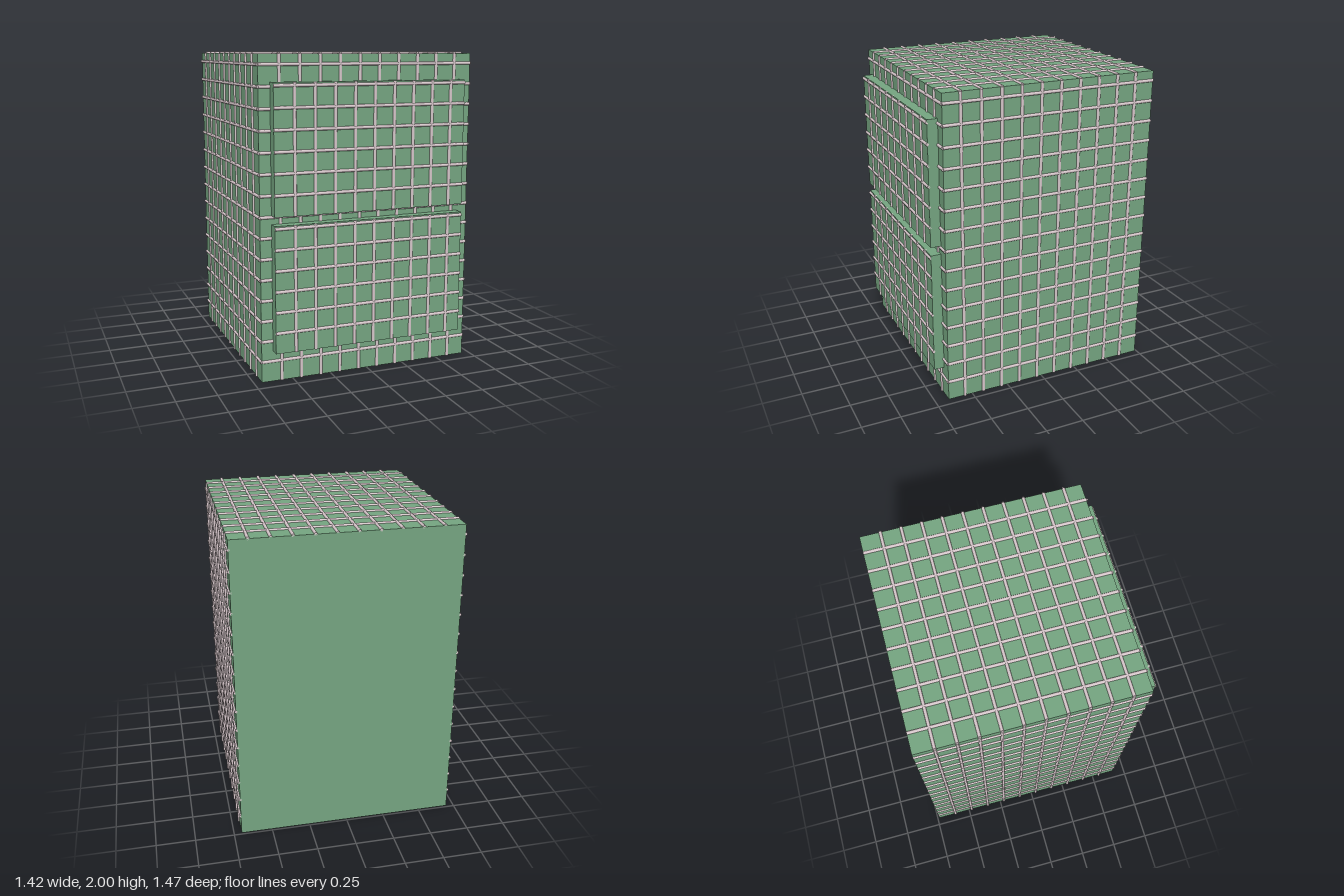
import * as THREE from 'three';

const STEP = 0.1286, R = 0.01;
const tileMat = new THREE.MeshStandardMaterial({ color: 0x74a480 });
const groutMat = new THREE.MeshStandardMaterial({ color: 0xd8c8cc });
const UP = new THREE.Vector3(0, 1, 0);

function box(name, x0, x1, y0, y1, z0, z1) {
  const mesh = new THREE.Mesh(new THREE.BoxGeometry(x1 - x0, y1 - y0, z1 - z0), tileMat);
  mesh.name = name;
  mesh.position.set((x0 + x1) / 2, (y0 + y1) / 2, (z0 + z1) / 2);
  return mesh;
}

// Grid of round grout lines on a w x h panel in the XY plane, origin at its lower left corner
function groutGrid(name, w, h) {
  const grid = new THREE.Group();
  grid.name = name;
  const line = (x, y, len, dir) => {
    const rod = new THREE.Mesh(new THREE.CylinderGeometry(R, R, len, 8), groutMat);
    rod.name = 'groutLine';
    rod.position.set(x, y, 0);
    rod.quaternion.setFromUnitVectors(UP, dir);
    grid.add(rod);
  };
  for (let x = STEP; x < w - 0.005; x += STEP) line(x, h / 2, h, UP);
  for (let y = STEP; y < h - 0.005; y += STEP) line(w / 2, y, w, new THREE.Vector3(1, 0, 0));
  return grid;
}

export function createModel() {
  const model = new THREE.Group();
  model.name = 'tiledCabinet';
  const X = 0.7, H = 1.99, ZB = -0.737, ZF = 0.662, ZD = 0.727;
  const depth = ZF - ZB;

  // Cabinet body
  model.add(box('body', -X, X, 0, H, ZB, ZF));

  // Grout on the front, both sides and top; back and bottom stay plain
  const front = groutGrid('frontGrout', 2 * X, H);
  front.position.set(-X, 0, ZF);
  model.add(front);
  for (const s of [-1, 1]) {
    const side = groutGrid(s > 0 ? 'leftGrout' : 'rightGrout', depth, H);
    side.rotation.y = -Math.PI / 2;
    side.position.set(s * X, 0, ZB);
    model.add(side);
  }
  const top = groutGrid('topGrout', 2 * X, depth);
  top.rotation.x = Math.PI / 2;
  top.position.set(-X, H, ZB);
  model.add(top);

  // Two drawer fronts with their own grid
  const DX = 0.628, DH = 0.79;
  for (const [name, y] of [['lowerDrawer', 0.195], ['upperDrawer', 1.038]]) {
    const drawer = new THREE.Group();
    drawer.name = name;
    drawer.add(box('drawerFront', -DX, DX, y, y + DH, ZF - 0.01, ZD));
    const grid = groutGrid('drawerGrout', 2 * DX, DH);
    grid.position.set(-DX, y, ZD);
    drawer.add(grid);
    model.add(drawer);
  }
  return model;
}
